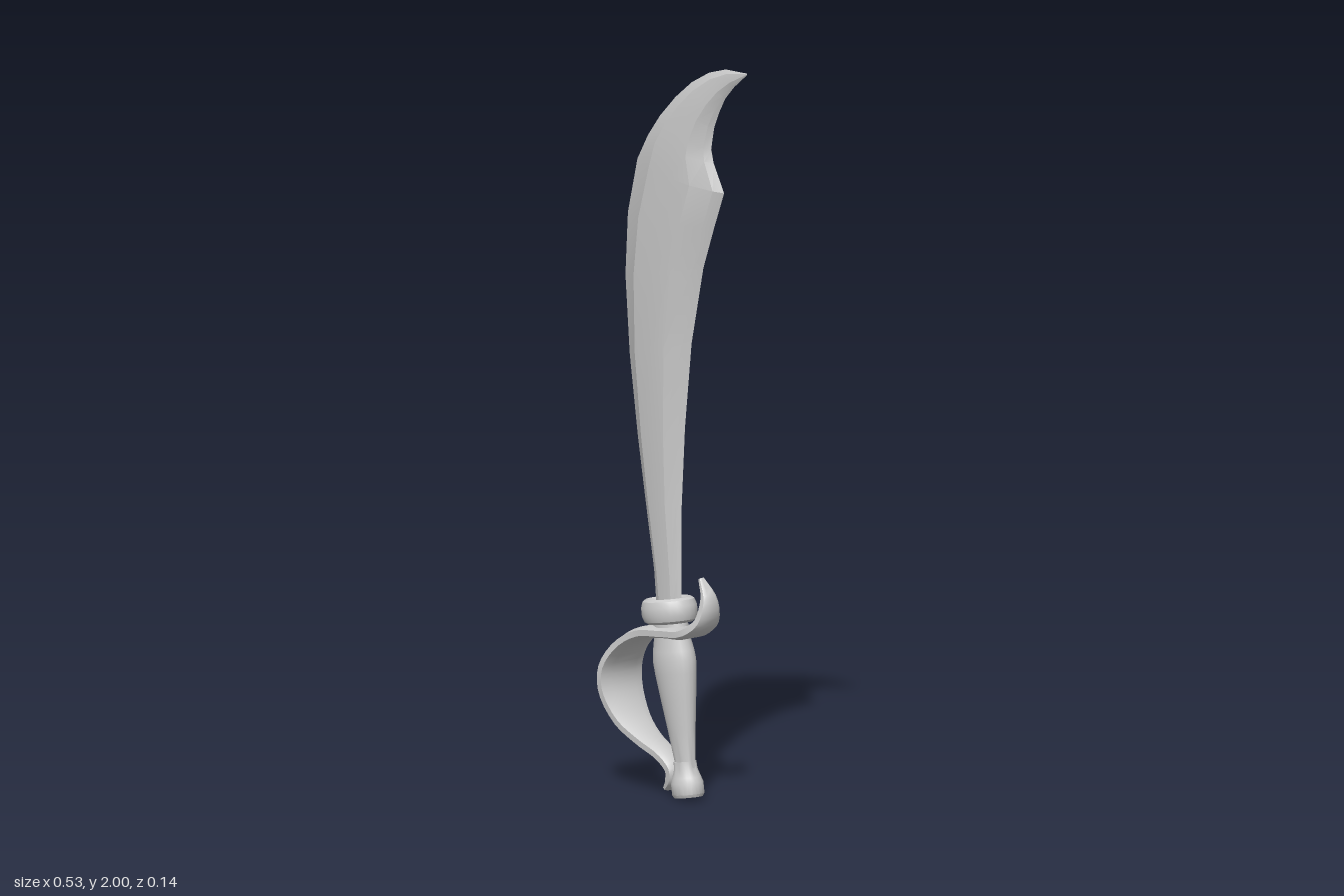
import * as THREE from 'three';
import { toCreasedNormals } from 'three/addons/utils/BufferGeometryUtils.js';

const material = new THREE.MeshStandardMaterial({ color: 0xcccccc });

// Skin a row of equal-sized closed rings and cap both ends
function loft(rings, crease) {
  const n = rings[0].length, last = (rings.length - 1) * n, index = [];
  for (let i = 0; i < rings.length - 1; i++) {
    for (let j = 0; j < n; j++) {
      const a = i * n + j, b = i * n + (j + 1) % n;
      index.push(a, b, b + n, a, b + n, a + n);
    }
  }
  for (let j = 1; j < n - 1; j++) {
    index.push(0, j + 1, j, last, last + j, last + j + 1);
  }
  const geometry = new THREE.BufferGeometry();
  geometry.setAttribute('position', new THREE.Float32BufferAttribute(rings.flat(2), 3));
  geometry.setIndex(index);
  return toCreasedNormals(geometry, crease);
}

function part(name, geometry) {
  const mesh = new THREE.Mesh(geometry, material);
  mesh.name = name;
  return mesh;
}

function makeBlade() {
  // spine x, y, cutting edge x, y, half thickness
  const rows = [
    [-0.1, 0.5, 0.0, 0.5, 0.014],
    [-0.11, 0.6, 0.0, 0.6, 0.018],
    [-0.144, 0.78, 0.0, 0.785, 0.026],
    [-0.175, 0.95, 0.013, 1.0, 0.034],
    [-0.208, 1.17, 0.04, 1.235, 0.041],
    [-0.225, 1.38, 0.087, 1.445, 0.044],
    [-0.215, 1.55, 0.13, 1.56, 0.043],
    [-0.177, 1.7, 0.17, 1.66, 0.041],
    [-0.135, 1.77, 0.128, 1.735, 0.038],
    [-0.087, 1.83, 0.118, 1.77, 0.034],
    [-0.025, 1.89, 0.13, 1.83, 0.028],
    [0.04, 1.94, 0.15, 1.875, 0.022],
    [0.11, 1.977, 0.175, 1.917, 0.014],
    [0.177, 1.996, 0.21, 1.953, 0.008],
    [0.26, 1.998, 0.262, 1.994, 0.001],
  ];
  // position across the blade, share of the thickness
  const half = [[0.24, 0.85], [0.5, 1], [0.72, 0.92], [0.92, 0.4]];
  const section = [[0, 0], ...half, [1, 0], ...half.map(([u, w]) => [u, -w]).reverse()];
  const rings = rows.map(([sx, sy, ex, ey, t]) =>
    section.map(([u, w]) => [sx + (ex - sx) * u, sy + (ey - sy) * u, t * w]));
  return part('blade', loft(rings, 0.3));
}

function makeKnuckleGuard() {
  // x, y and half width of the ribbon
  const path = new THREE.CatmullRomCurve3([
    [0.078, 0.605, 0.008], [0.108, 0.555, 0.025], [0.1, 0.495, 0.04],
    [0.05, 0.458, 0.053], [-0.035, 0.445, 0.055], [-0.125, 0.432, 0.056],
    [-0.2, 0.39, 0.064], [-0.245, 0.325, 0.075], [-0.245, 0.26, 0.075],
    [-0.2, 0.185, 0.062], [-0.135, 0.14, 0.046], [-0.06, 0.105, 0.035],
    [-0.027, 0.073, 0.03], [-0.03, 0.045, 0.027], [-0.05, 0.02, 0.02],
  ].map((p) => new THREE.Vector3(...p)));
  const section = [[1, 0.55], [0.5, 0.95], [-0.5, 0.95], [-1, 0.55],
    [-1, -0.55], [-0.5, -0.95], [0.5, -0.95], [1, -0.55]];
  const rings = [];
  const steps = 48;
  for (let i = 0; i <= steps; i++) {
    const p = path.getPoint(i / steps);
    const d = path.getTangent(i / steps).setZ(0).normalize();
    const t = 0.016 * Math.min(1, 0.4 + i / 8, 0.5 + (steps - i) / 8);
    rings.push(section.map(([a, b]) => [p.x - d.y * a * t, p.y + d.x * a * t, b * p.z]));
  }
  return part('knuckleGuard', loft(rings, 0.7));
}

function lathe(points) {
  return toCreasedNormals(
    new THREE.LatheGeometry(points.map(([r, y]) => new THREE.Vector2(r, y)), 24), 0.6);
}

function makeHilt() {
  const hilt = new THREE.Group();
  hilt.name = 'hilt';

  // Oval grip, widest near the top
  const grip = part('grip', lathe([[0, 0.06], [0.034, 0.06], [0.034, 0.1], [0.045, 0.18],
    [0.057, 0.26], [0.067, 0.33], [0.07, 0.365], [0.067, 0.39], [0.058, 0.43],
    [0.055, 0.48], [0, 0.48]]));
  grip.scale.z = 0.67;

  // Flared pommel
  const pommel = part('pommel', lathe([[0, 0], [0.042, 0], [0.047, 0.008], [0.047, 0.038],
    [0.042, 0.052], [0.034, 0.075], [0.033, 0.095], [0, 0.095]]));
  pommel.scale.z = 0.85;

  // Rounded collar gripping the blade
  const collar = part('collar', lathe([[0, 0.465], [0.066, 0.465], [0.077, 0.472],
    [0.083, 0.487], [0.083, 0.51], [0.077, 0.526], [0.068, 0.532], [0.06, 0.526],
    [0.055, 0.512], [0, 0.512]]));
  collar.scale.z = 0.81;

  hilt.add(grip, pommel, collar);
  hilt.position.set(0.028, 0.008, 0);
  hilt.rotation.z = 0.155;
  return hilt;
}

export function createModel() {
  const model = new THREE.Group();
  model.name = 'sabre';
  model.add(makeBlade(), makeKnuckleGuard(), makeHilt());
  return model;
}
